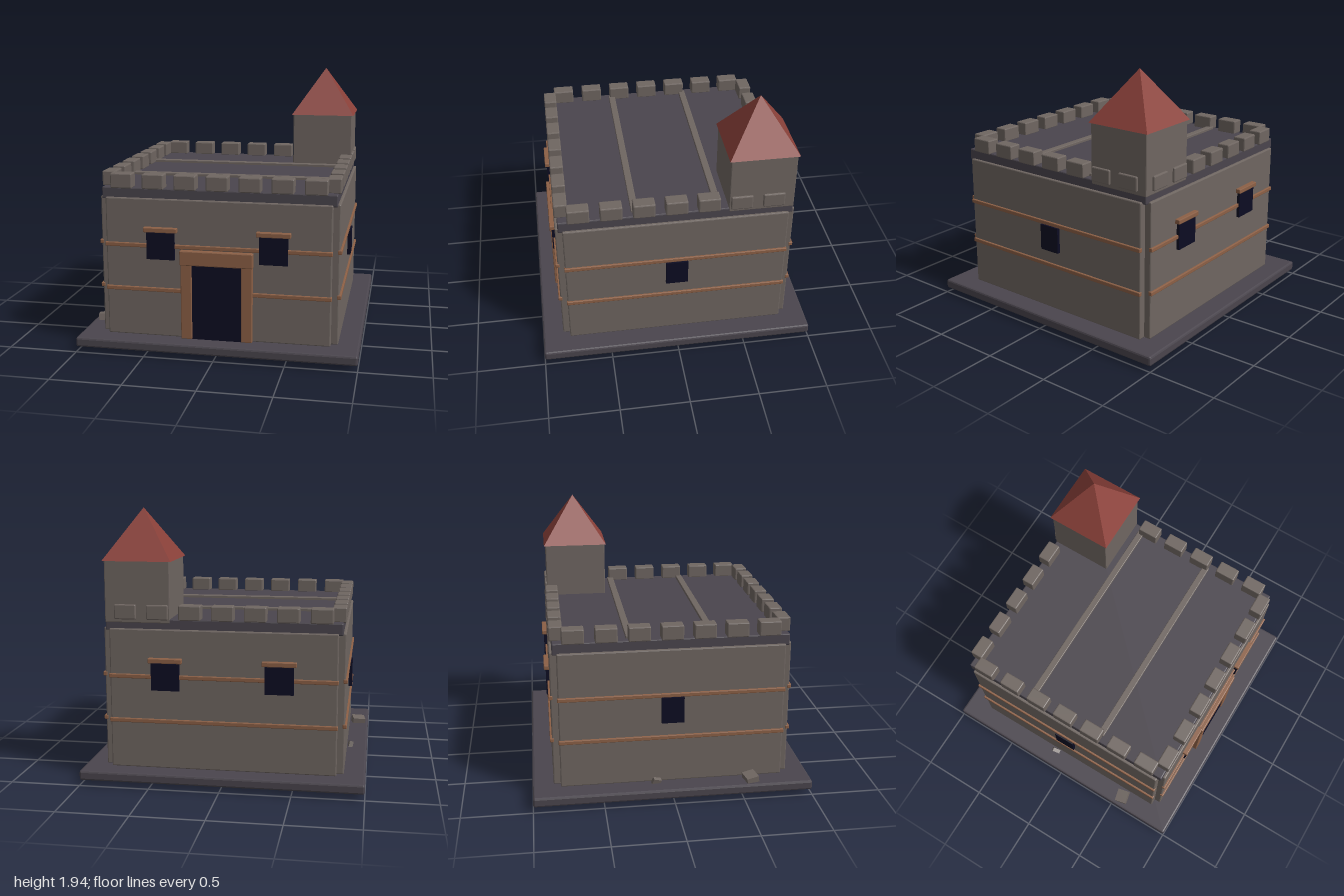
import * as THREE from 'three';
import { RoundedBoxGeometry } from 'three/addons/geometries/RoundedBoxGeometry.js';

const mat = (name, color) => {
  const m = new THREE.MeshStandardMaterial({ color, flatShading: true });
  m.name = name;
  return m;
};

export function createModel() {
  const stone = mat('stone', 0x6f6661);
  const slate = mat('slate', 0x4a454d);
  const wood = mat('wood', 0x8c6046);
  const tile = mat('roofTile', 0x8a4039);
  const dark = mat('darkOpening', 0x0c0c22);

  const model = new THREE.Group();
  model.name = 'keep';

  // Box from its min/max corners, with a small chamfer when bevel > 0
  const box = (parent, name, material, x0, x1, y0, y1, z0, z1, bevel = 0) => {
    const s = [x1 - x0, y1 - y0, z1 - z0];
    const geo = bevel ? new RoundedBoxGeometry(...s, 1, bevel) : new THREE.BoxGeometry(...s);
    const mesh = new THREE.Mesh(geo, material);
    mesh.name = name;
    mesh.position.set((x0 + x1) / 2, (y0 + y1) / 2, (z0 + z1) / 2);
    parent.add(mesh);
    return mesh;
  };

  // Plinth, core and roof deck
  box(model, 'plinth', slate, -1, 1, 0.04, 0.11, -1, 1, 0.014);
  box(model, 'core', stone, -0.8, 0.8, 0.1, 1.11, -0.8, 0.8);
  box(model, 'roofDeck', slate, -0.83, 0.83, 1.095, 1.18, -0.83, 0.83, 0.008);
  for (const z of [-0.295, 0.29]) {
    box(model, 'roofRib', stone, -0.78, 0.78, 1.17, 1.2, z - 0.025, z + 0.025, 0.005);
  }

  // Each side is modelled facing +z, then turned into place
  ['front', 'left', 'back', 'right'].forEach((name, i) => {
    const side = new THREE.Group();
    side.name = name + 'Side';
    side.rotation.y = i * Math.PI / 2;
    model.add(side);

    box(side, 'wall', stone, -0.8, 0.8, 0.11, 1.11, 0.78, 0.85, 0.008);
    for (const y of [0.455, 0.775]) {
      box(side, 'timberBand', wood, -0.805, 0.805, y - 0.015, y + 0.015, 0.835, 0.864, 0.005);
    }
    for (let k = -3; k <= 3; k++) {
      const x = k * 0.2285;
      box(side, 'merlon', stone, x - 0.0775, x + 0.0775, 1.175, 1.28, 0.752, 0.848, 0.008);
    }

    if (i % 2) {
      // Plain window on the flanks
      box(side, 'window', dark, -0.08, 0.08, 0.57, 0.76, 0.865, 0.874);
      box(side, 'windowReveal', dark, -0.08, 0.08, 0.57, 0.76, 0.845, 0.866);
    } else {
      // Pair of windows with timber lintels
      for (const x of [-0.4, 0.4]) {
        box(side, 'window', dark, x - 0.1, x + 0.1, 0.68, 0.872, 0.845, 0.872);
        box(side, 'windowLintel', wood, x - 0.12, x + 0.12, 0.876, 0.91, 0.84, 0.886, 0.005);
      }
    }

    if (i === 0) {
      // Doorway
      box(side, 'door', dark, -0.178, 0.178, 0.11, 0.65, 0.84, 0.872);
      for (const s of [-1, 1]) {
        const a = s * 0.175, b = s * 0.255;
        box(side, 'doorJamb', wood, Math.min(a, b), Math.max(a, b), 0.11, 0.66, 0.84, 0.882, 0.006);
      }
      box(side, 'doorLintel', wood, -0.26, 0.26, 0.65, 0.755, 0.84, 0.89, 0.007);
    }
  });

  // Corner tower with a pyramid roof
  const tower = new THREE.Group();
  tower.name = 'tower';
  tower.position.set(0.6, 0, -0.6);
  model.add(tower);
  box(tower, 'towerBody', stone, -0.232, 0.232, 1.15, 1.585, -0.232, 0.232, 0.006);
  const roof = new THREE.Mesh(new THREE.ConeGeometry(0.244 * Math.SQRT2, 0.36, 4), tile);
  roof.name = 'towerRoof';
  roof.rotation.y = Math.PI / 4;
  roof.position.y = 1.76;
  tower.add(roof);

  // Rubble: position, size and tilt of each half-buried chunk
  const rubble = [
    [stone, -0.92, 0.125, 0.56, 0.1, 0.06, 0.09, -0.15, 0.12],
    [stone, -0.875, 0.12, -0.12, 0.03, 0.05, 0.06, 0.3, 0.2],
    [stone, -0.87, 0.055, 0.56, 0.11, 0.06, 0.08, 0.25, 0.25],
    [stone, -0.82, 0.055, 0.14, 0.1, 0.05, 0.1, 0.2, -0.2],
    [stone, -0.88, 0.055, -0.02, 0.09, 0.05, 0.14, 0.15, 0.2],
    [wood, -0.15, 0.055, 0.42, 0.12, 0.05, 0.1, 0.15, 0.2],
    [stone, 0.5, 0.055, 0.28, 0.1, 0.05, 0.09, -0.15, 0.2],
    [wood, 0.62, 0.055, 0.6, 0.08, 0.05, 0.06, 0.2, -0.2],
    [stone, 0.21, 0.055, -0.54, 0.05, 0.05, 0.05, 0.2, 0.2],
  ];
  for (const [m, x, y, z, w, h, d, tx, tz] of rubble) {
    const chunk = new THREE.Mesh(new THREE.BoxGeometry(w, h, d), m);
    chunk.name = 'rubble';
    chunk.position.set(x, y, z);
    chunk.rotation.set(tx, 0.2, tz);
    model.add(chunk);
  }

  return model;
}
